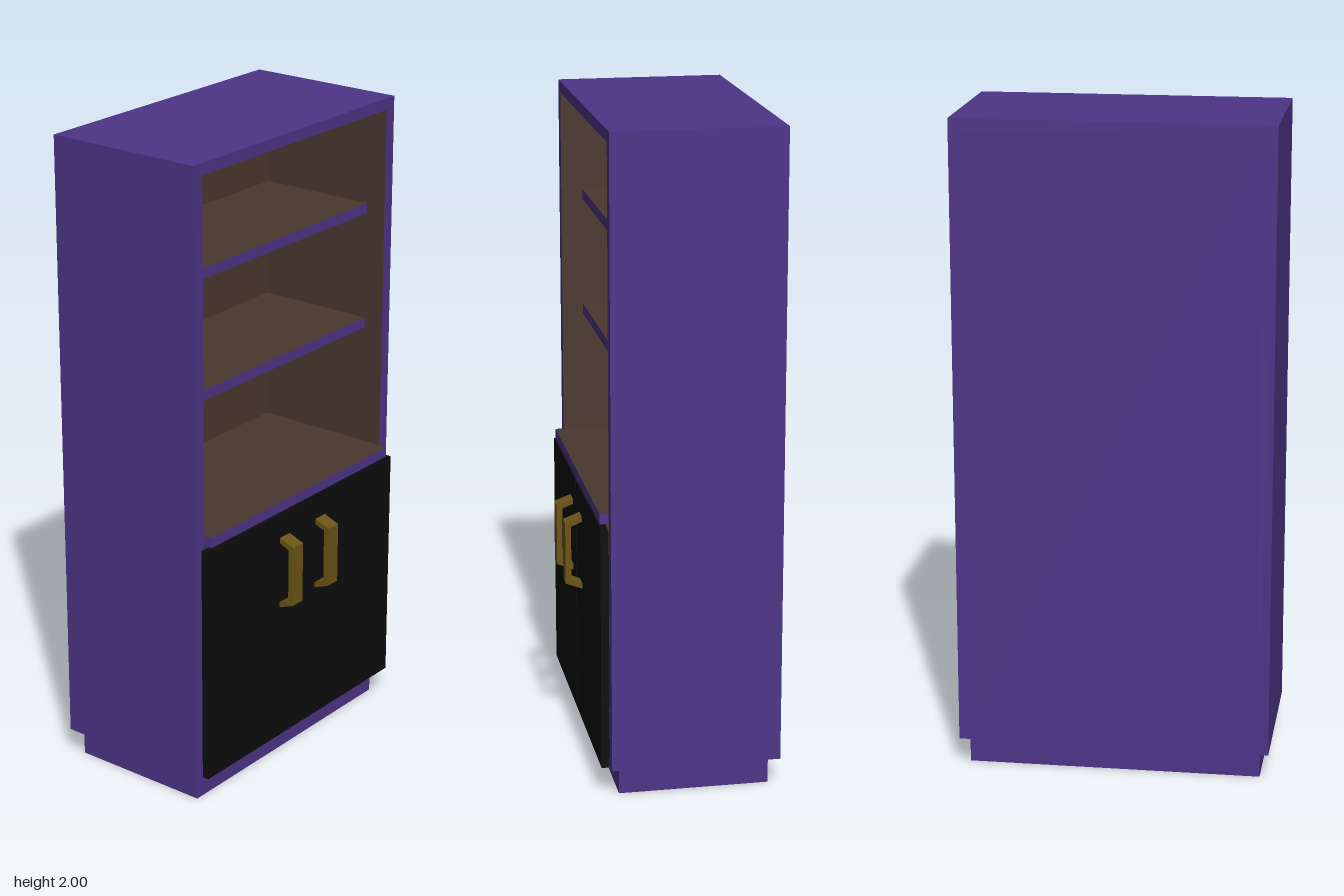
import * as THREE from 'three';

const mat = (color) => new THREE.MeshStandardMaterial({ color });

export function createModel() {
  const model = new THREE.Group();
  const purple = mat(0x4e3488), brown = mat(0x4a372f), black = mat(0x0d0d0d), gold = mat(0x6b5414);

  // Box from min/max corners; lined = face indices (+x -x +y -y +z -z) painted brown
  function panel(name, [x0, x1], [y0, y1], [z0, z1], color = purple, lined = []) {
    const materials = Array.from({ length: 6 }, (_, i) => (lined.includes(i) ? brown : color));
    const mesh = new THREE.Mesh(
      new THREE.BoxGeometry(x1 - x0, y1 - y0, z1 - z0),
      lined.length ? materials : color
    );
    mesh.position.set((x0 + x1) / 2, (y0 + y1) / 2, (z0 + z1) / 2);
    mesh.name = name;
    model.add(mesh);
    return mesh;
  }

  const back = -0.297, front = 0.215, inner = 0.437, outer = 0.475, backInner = -0.23;

  // Plinth and carcass, purple outside and brown inside
  panel('plinth', [-0.447, 0.447], [0, 0.085], [-0.265, 0.19]);
  panel('rightSide', [-outer, -inner], [0.085, 2], [back, front], purple, [0]);
  panel('leftSide', [inner, outer], [0.085, 2], [back, front], purple, [1]);
  panel('topPanel', [-inner, inner], [1.965, 2], [back, front], purple, [3]);
  panel('floorPanel', [-inner, inner], [0.085, 0.122], [back, front], purple, [2]);
  panel('backPanel', [-inner, inner], [0.122, 1.965], [back, backInner], purple, [4]);

  // Counter board above the doors and two set-back shelves
  panel('counterShelf', [-inner, inner], [0.848, 0.88], [backInner, 0.242], purple, [2, 3]);
  for (const y of [1.26, 1.63])
    panel('shelf', [-inner, inner], [y, y + 0.032], [backInner, 0.15], purple, [2, 3]);

  // Strap handle outline in (z, y): slanted feet joined by an upright grip
  const outline = [
    [0.243, 0.765], [0.295, 0.745], [0.295, 0.553], [0.243, 0.533],
    [0.243, 0.55], [0.277, 0.564], [0.277, 0.734], [0.243, 0.748],
  ].map(([z, y]) => new THREE.Vector2(-z, y));
  const handleGeometry = new THREE.ExtrudeGeometry(new THREE.Shape(outline), { depth: 0.048, bevelEnabled: false });
  handleGeometry.translate(0, 0, -0.024).rotateY(Math.PI / 2);

  // Mirrored doors with an inset rear panel, and their handles
  for (const s of [-1, 1]) {
    const side = s > 0 ? 'left' : 'right';
    const span = (a, b) => (s > 0 ? [a, b] : [-b, -a]);
    panel(side + 'Door', span(0.004, 0.46), [0.092, 0.842], [0.223, 0.244], black);
    panel(side + 'DoorLining', span(0.012, 0.44), [0.11, 0.825], [0.216, 0.223], black);
    const handle = new THREE.Mesh(handleGeometry, gold);
    handle.name = side + 'Handle';
    handle.position.x = s * 0.089;
    model.add(handle);
  }

  return model;
}
